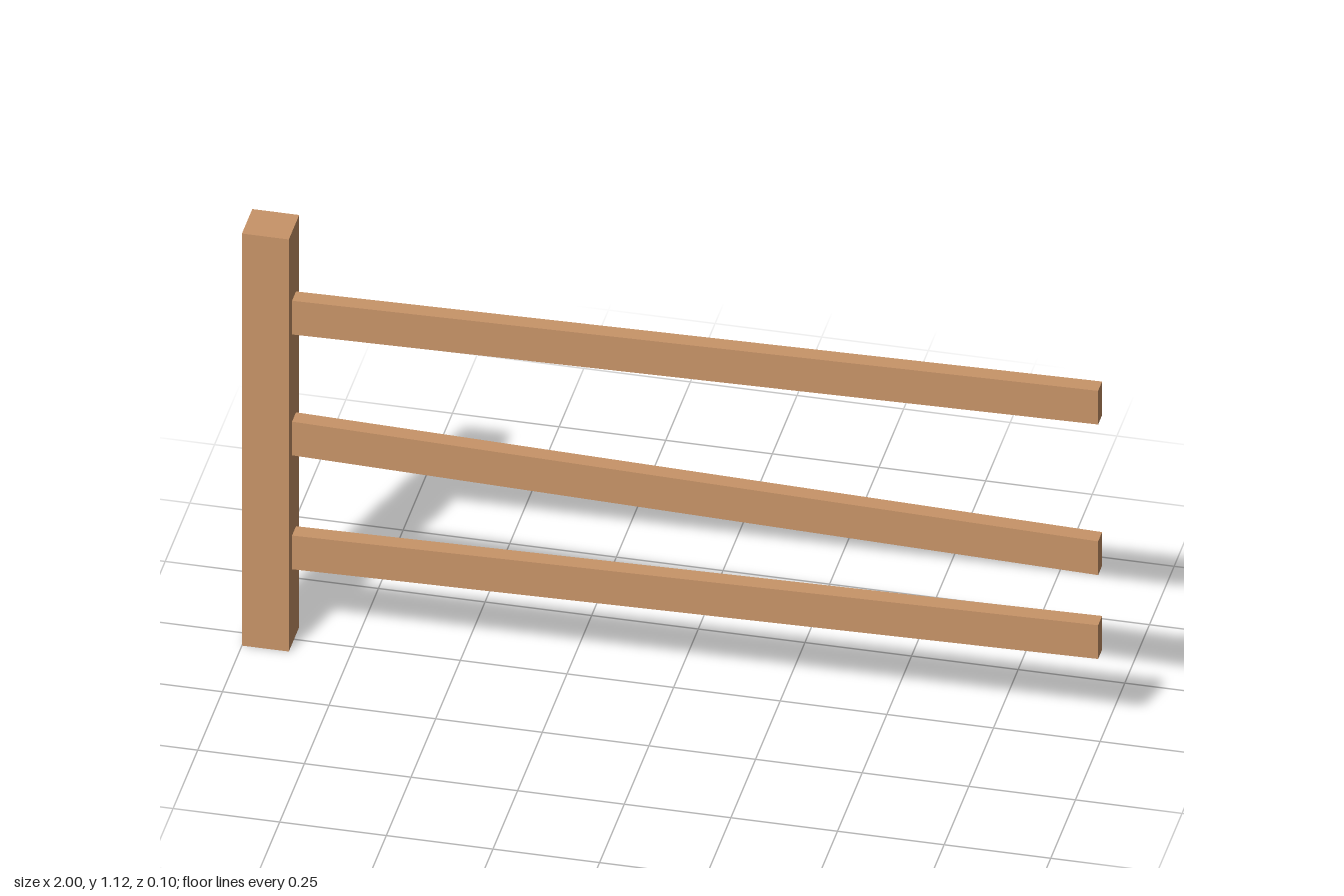
import * as THREE from 'three';

const wood = new THREE.MeshStandardMaterial({ color: 0xc89468 });
wood.name = 'wood';

const POST_LEFT = -1, POST_RIGHT = -0.89, RAIL_END = 1;
const RAIL_HEIGHT = 0.092, RAIL_DEPTH = 0.04;

// Rail with upright ends: a box sheared so its underside runs from y0 to y1
function makeRail(name, y0, y1) {
  const length = RAIL_END - POST_RIGHT;
  const geometry = new THREE.BoxGeometry(length, RAIL_HEIGHT, RAIL_DEPTH);
  const pos = geometry.attributes.position;
  for (let i = 0; i < pos.count; i++) {
    const t = pos.getX(i) / length;
    pos.setY(i, pos.getY(i) + t * (y1 - y0));
  }
  geometry.computeVertexNormals();
  const rail = new THREE.Mesh(geometry, wood);
  rail.name = name;
  rail.position.set((POST_RIGHT + RAIL_END) / 2, (y0 + y1 + RAIL_HEIGHT) / 2, 0);
  return rail;
}

export function createModel() {
  const fence = new THREE.Group();
  fence.name = 'fenceSection';

  // Square upright post
  const height = 1.125;
  const post = new THREE.Mesh(new THREE.BoxGeometry(POST_RIGHT - POST_LEFT, height, 0.105), wood);
  post.name = 'post';
  post.position.set((POST_LEFT + POST_RIGHT) / 2, height / 2, 0);
  fence.add(post);

  // Three slightly crooked rails: underside heights at the post and at the free end
  fence.add(
    makeRail('topRail', 0.845, 0.878),
    makeRail('middleRail', 0.515, 0.467),
    makeRail('bottomRail', 0.204, 0.238),
  );
  return fence;
}
